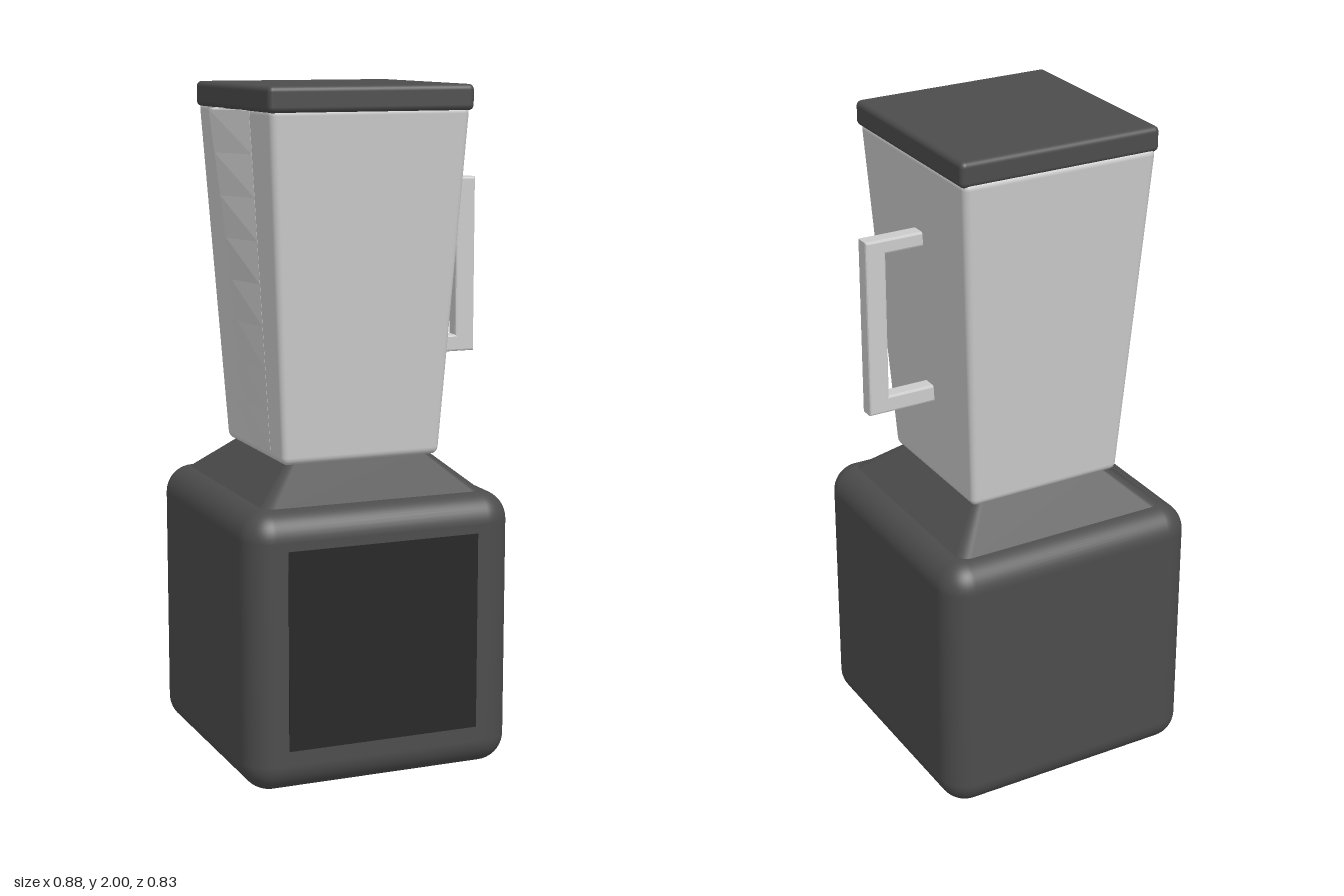
import * as THREE from 'three';
import { RoundedBoxGeometry } from 'three/addons/geometries/RoundedBoxGeometry.js';

const CX = -0.028; // centre line of body and jar

const grey = new THREE.MeshStandardMaterial({ color: 0xcccccc });
const dark = new THREE.MeshStandardMaterial({ color: 0x4c4c4c });
const black = new THREE.MeshStandardMaterial({ color: 0x272727 });

// Rounded box between two heights, tapering from bottom to top half-sizes
function taperedBox(y0, y1, bottom, top, radius) {
  const h = y1 - y0;
  const geo = new RoundedBoxGeometry(2 * top[0], h, 2 * top[1], 4, radius);
  const p = geo.attributes.position, n = geo.attributes.normal;
  const k = [bottom[0] / top[0], bottom[1] / top[1]];
  const normal = new THREE.Vector3();
  for (let i = 0; i < p.count; i++) {
    const t = p.getY(i) / h + 0.5;
    const sx = k[0] + (1 - k[0]) * t, sz = k[1] + (1 - k[1]) * t;
    const nx = n.getX(i) / sx, nz = n.getZ(i) / sz;
    const ny = n.getY(i) - (nx * p.getX(i) * (1 - k[0]) + nz * p.getZ(i) * (1 - k[1])) / h;
    normal.set(nx, ny, nz).normalize();
    n.setXYZ(i, normal.x, normal.y, normal.z);
    p.setXYZ(i, p.getX(i) * sx, p.getY(i) + (y0 + y1) / 2, p.getZ(i) * sz);
  }
  return geo;
}

// Hollow V-shaped pouring spout that sinks into the jar wall towards the bottom
function spoutGeometry() {
  const y0 = 0.945, y1 = 1.928, depth = 0.072, half = 0.14, wall = -0.333;
  const outline = new THREE.Shape([
    [wall + 0.01, -half], [wall + 0.01, -0.084], [wall - depth + 0.028, 0],
    [wall + 0.01, 0.084], [wall + 0.01, half], [wall, half], [wall - depth, 0], [wall, -half],
  ].map(([x, z]) => new THREE.Vector2(x, z)));
  const geo = new THREE.ExtrudeGeometry(outline, { depth: y1 - y0, steps: 8, bevelEnabled: false });
  geo.rotateX(-Math.PI / 2);
  const p = geo.attributes.position;
  for (let i = 0; i < p.count; i++) {
    const t = p.getY(i) / (y1 - y0);
    const bulge = depth * (1 - Math.abs(p.getZ(i)) / half);
    p.setX(i, p.getX(i) + (1 - t) * (0.058 + bulge));
    p.setY(i, p.getY(i) + y0);
  }
  geo.computeVertexNormals();
  return geo;
}

// Square C-shaped handle with softened edges
function handleGeometry() {
  const b = 0.006;
  const outline = new THREE.Shape([
    [0.2, 1.185 + b], [0.44 - b, 1.185 + b], [0.44 - b, 1.715 - b], [0.24, 1.715 - b],
    [0.24, 1.672 + b], [0.378 + b, 1.672 + b], [0.378 + b, 1.236 - b], [0.2, 1.236 - b],
  ].map(([x, y]) => new THREE.Vector2(x, y)));
  const geo = new THREE.ExtrudeGeometry(outline, {
    depth: 0.049 - 2 * b, bevelThickness: b, bevelSize: b, bevelSegments: 2,
  });
  return geo.translate(0, 0, -0.042 + b);
}

export function createModel() {
  const group = new THREE.Group();
  const add = (name, geo, material, x = 0, y = 0, z = 0) => {
    const mesh = new THREE.Mesh(geo, material);
    mesh.name = name;
    mesh.position.set(x, y, z);
    group.add(mesh);
  };

  // Motor housing with control panel and sloping neck
  add('motorBase', new RoundedBoxGeometry(0.825, 0.825, 0.825, 6, 0.085), dark, CX, 0.4125, 0);
  add('controlPanel', new THREE.BoxGeometry(0.588, 0.585, 0.02), black, -0.03, 0.4225, 0.4045);
  add('neck', taperedBox(0.8, 0.95, [0.37, 0.37], [0.195, 0.195], 0.02), dark, CX);

  // Jar with spout on one side and handle on the other
  add('jar', taperedBox(0.922, 1.94, [0.245, 0.24], [0.305, 0.313], 0.022), grey, CX);
  add('spout', spoutGeometry(), grey);
  add('handle', handleGeometry(), grey);

  // Lid
  add('lid', new RoundedBoxGeometry(0.625, 0.074, 0.632, 4, 0.016), dark, CX, 1.963, 0.005);

  return group;
}
